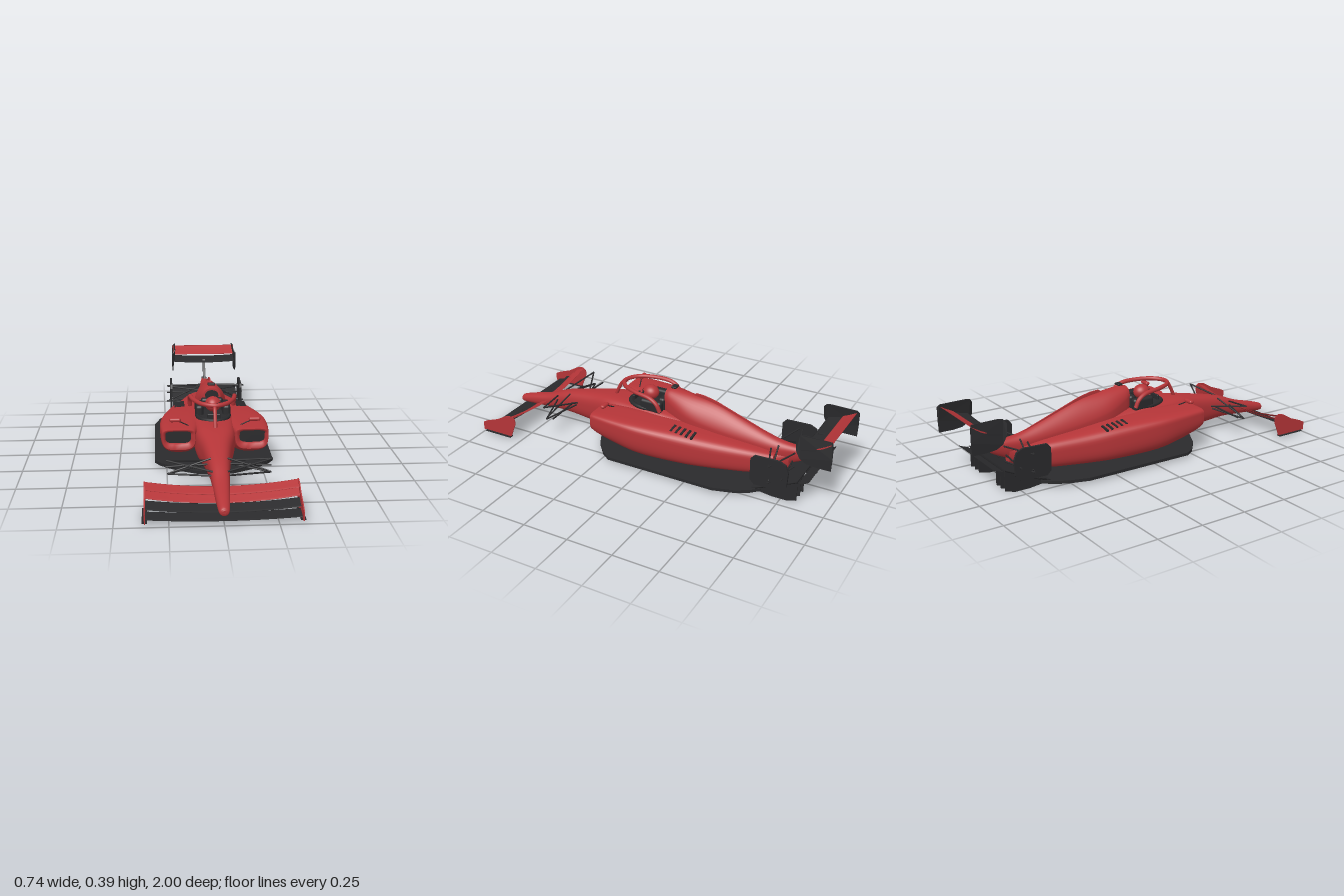
import * as THREE from 'three';
import { RoundedBoxGeometry } from 'three/addons/geometries/RoundedBoxGeometry.js';

const red = new THREE.MeshStandardMaterial({ color: 0xb53538, side: THREE.DoubleSide });
const dark = new THREE.MeshStandardMaterial({ color: 0x2a2a2c, side: THREE.DoubleSide });
const V = (x, y, z) => new THREE.Vector3(x, y, z);

// Skin over closed rings of equal length, with optional flat caps
function skin(rings, capStart = true, capEnd = true) {
  const n = rings[0].length, pos = [], idx = [];
  rings.forEach(r => r.forEach(p => pos.push(p.x, p.y, p.z)));
  for (let i = 0; i + 1 < rings.length; i++) for (let j = 0; j < n; j++) {
    const k = (j + 1) % n, a = i * n + j, b = i * n + k;
    idx.push(a, a + n, b, b, a + n, b + n);
  }
  const cap = (ring, flip) => {
    const base = pos.length / 3, c = V(0, 0, 0);
    ring.forEach(p => { pos.push(p.x, p.y, p.z); c.addScaledVector(p, 1 / n); });
    pos.push(c.x, c.y, c.z);
    for (let j = 0; j < n; j++) {
      const k = (j + 1) % n;
      idx.push(base + n, base + (flip ? k : j), base + (flip ? j : k));
    }
  };
  if (capStart) cap(rings[0], false);
  if (capEnd) cap(rings[rings.length - 1], true);
  const g = new THREE.BufferGeometry();
  g.setAttribute('position', new THREE.Float32BufferAttribute(pos, 3));
  g.setIndex(idx);
  g.computeVertexNormals();
  return g;
}

// Rounded section: [z, centre x, half width, widest y, top y, bottom y, top exponent, bottom exponent]
function section([z, cx, w, ym, yT, yB, et, eb], n = 40) {
  const pw = (v, e) => Math.sign(v) * Math.abs(v) ** e;
  return Array.from({ length: n }, (_, j) => {
    const t = (j + 0.5) / n * Math.PI * 2, c = Math.cos(t), s = Math.sin(t), e = s > 0 ? et : eb;
    return V(cx + w * pw(c, e), ym + (s > 0 ? yT - ym : ym - yB) * pw(s, e), z);
  });
}

// Smooth loft through section rows, front to back
function loft(rows, capStart = true, steps = 5) {
  const f = new THREE.CubicInterpolant(rows.map((_, i) => i), rows.flat(), 8, new Float32Array(8));
  const rings = [];
  for (let i = 0; i <= (rows.length - 1) * steps; i++) rings.push(section([...f.evaluate(i / steps)]));
  return skin(rings, capStart);
}

// Thin aerofoil across the car, curved in height and sweep towards the tips
function foil(half, zL, yL, zT, yT, thick, rise, sweep) {
  const rings = [];
  for (let i = 0; i <= 24; i++) {
    const u = i / 12 - 1, r = [];
    for (let j = 0; j < 16; j++) {
      const t = j / 16 * Math.PI * 2, c = 0.5 - 0.5 * Math.cos(t);
      r.push(V(u * half, yL + (yT - yL) * c ** 1.3 + thick * Math.sin(t) * (1 - 0.6 * c) + rise * u * u,
        zL + (zT - zL) * c + sweep * u * u));
    }
    rings.push(r);
  }
  return skin(rings);
}

// Upright plate from (z, y) points, centred on x
function plate(points, thick, x) {
  const s = new THREE.Shape(points.map(p => new THREE.Vector2(...p)));
  return new THREE.ExtrudeGeometry(s, { depth: thick, bevelEnabled: false })
    .rotateY(-Math.PI / 2).translate(x + thick / 2, 0, 0);
}

// Straight rod between two points
function rod(a, b, r) {
  const d = b.clone().sub(a);
  return new THREE.CylinderGeometry(r, r, d.length(), 8)
    .applyQuaternion(new THREE.Quaternion().setFromUnitVectors(V(0, 1, 0), d.clone().normalize()))
    .translate((a.x + b.x) / 2, (a.y + b.y) / 2, (a.z + b.z) / 2);
}

export function createModel() {
  const model = new THREE.Group();
  const add = (name, geo, mat) => {
    const m = new THREE.Mesh(geo, mat);
    m.name = name;
    model.add(m);
    return m;
  };
  // Both sides: the part is built once for each sign of x
  const both = (name, make, mat) => [1, -1].forEach(s => add((s > 0 ? 'left' : 'right') + name, make(s), mat));

  // Nose and central body
  add('noseAndBody', loft([
    [0.988, 0, 0.010, 0.06, 0.068, 0.05, 1, 1], [0.975, 0, 0.024, 0.06, 0.082, 0.038, 1, 1],
    [0.90, 0, 0.032, 0.075, 0.105, 0.042, 0.9, 0.9], [0.78, 0, 0.04, 0.1, 0.137, 0.052, 0.85, 0.8],
    [0.65, 0, 0.05, 0.13, 0.187, 0.058, 0.8, 0.8], [0.46, 0, 0.074, 0.145, 0.228, 0.045, 0.7, 0.8],
    [0.33, 0, 0.1, 0.16, 0.248, 0.035, 0.6, 0.8], [0.2, 0, 0.108, 0.17, 0.25, 0.03, 0.5, 0.7],
    [0, 0, 0.112, 0.17, 0.25, 0.03, 0.5, 0.6], [-0.3, 0, 0.1, 0.13, 0.21, 0.03, 0.7, 0.6],
    [-0.6, 0, 0.06, 0.11, 0.17, 0.04, 0.9, 0.8], [-0.72, 0, 0.03, 0.14, 0.18, 0.07, 1, 1]]), red);

  // Engine cover, air intake and spine fin
  add('engineCover', loft([
    [0.0, 0, 0.048, 0.31, 0.362, 0.2, 0.9, 0.6], [-0.04, 0, 0.064, 0.29, 0.365, 0.18, 1, 0.6],
    [-0.15, 0, 0.086, 0.25, 0.355, 0.12, 1.2, 0.7], [-0.3, 0, 0.08, 0.22, 0.33, 0.1, 1.35, 0.8],
    [-0.5, 0, 0.06, 0.19, 0.265, 0.08, 1.2, 0.9], [-0.65, 0, 0.042, 0.17, 0.22, 0.08, 1, 1],
    [-0.78, 0, 0.025, 0.185, 0.208, 0.13, 1, 1], [-0.85, 0, 0.012, 0.19, 0.203, 0.175, 1, 1]]), red);
  add('airIntake', skin([section([0.004, 0, 0.036, 0.322, 0.352, 0.3, 0.9, 0.9]),
    section([-0.01, 0, 0.036, 0.322, 0.352, 0.3, 0.9, 0.9])]), dark);
  add('spineFin', plate([[-0.13, 0.34], [-0.17, 0.367], [-0.22, 0.364], [-0.29, 0.348], [-0.63, 0.226],
    [-0.63, 0.2], [-0.3, 0.28]], 0.006, 0), red);
  add('roofCamera', new RoundedBoxGeometry(0.04, 0.012, 0.03, 3, 0.005).translate(0, 0.376, -0.04), dark);

  // Sidepods with recessed inlets and cooling slits
  const inner = [0.19, 0.066, 0.2, 0.23, 0.158, 0.4, 0.5], outer = [0.187, 0.084, 0.2, 0.238, 0.13, 0.45, 0.6];
  const side = (s, [z, cx, ...rest]) => [z, s * cx, ...rest];
  both('Sidepod', s => loft([
    [0.335, ...outer], [0.3, 0.186, 0.09, 0.2, 0.24, 0.11, 0.45, 0.65],
    [0.2, 0.18, 0.102, 0.195, 0.241, 0.075, 0.5, 0.75], [0.05, 0.165, 0.112, 0.18, 0.238, 0.045, 0.55, 0.7],
    [-0.18, 0.12, 0.112, 0.15, 0.222, 0.03, 0.6, 0.65], [-0.35, 0.09, 0.096, 0.13, 0.202, 0.03, 0.65, 0.65],
    [-0.55, 0.065, 0.061, 0.12, 0.178, 0.04, 0.7, 0.7], [-0.65, 0.05, 0.034, 0.12, 0.16, 0.06, 0.8, 0.8],
  ].map(r => side(s, r)), false), red);
  both('InletLip', s => skin([[0.3, ...inner], [0.335, ...inner], [0.335, ...outer]]
    .map(r => section(side(s, r))), false, false), red);
  both('InletCore', s => skin([[0.306, ...inner], [0.3, ...inner]].map(r => section(side(s, r)))), dark);
  for (let i = 0; i < 5; i++) {
    const z = -0.12 - i * 0.03;
    both('CoolingSlit', s => new THREE.BoxGeometry(0.056, 0.012, 0.011).rotateZ(-0.16 * s)
      .translate(s * 0.172, 0.2185 + 0.09 * (z + 0.18), z), dark);
  }

  // Cockpit, headrest and driver
  const rim = new THREE.TorusGeometry(1, 0.13, 8, 48).rotateX(Math.PI / 2).scale(0.085, 0.09, 0.115);
  add('cockpitRim', rim.translate(0, 0.248, 0.11), dark);
  add('cockpitFloor', new THREE.CylinderGeometry(1, 1, 0.01, 48).scale(0.085, 1, 0.115).translate(0, 0.248, 0.11), dark);
  both('Headrest', s => new RoundedBoxGeometry(0.042, 0.07, 0.13, 4, 0.016).translate(s * 0.072, 0.268, 0.065), dark);
  add('seatBack', new RoundedBoxGeometry(0.12, 0.09, 0.04, 3, 0.015).translate(0, 0.27, 0.015), dark);
  add('steeringWheel', new RoundedBoxGeometry(0.07, 0.03, 0.012, 2, 0.005).translate(0, 0.265, 0.2), dark);
  add('helmet', new THREE.SphereGeometry(0.042, 32, 20).scale(1, 0.95, 1.12).translate(0, 0.308, 0.11), red);
  add('visor', new THREE.SphereGeometry(0.0428, 24, 8, Math.PI / 2 - 1.1, 2.2, 1.2, 0.55)
    .scale(1, 0.95, 1.12).translate(0, 0.308, 0.11), dark);

  // Protective hoop over the cockpit
  const half = [[0.118, 0.268, -0.01], [0.121, 0.31, 0.01], [0.119, 0.335, 0.05], [0.104, 0.344, 0.15], [0.062, 0.345, 0.235]];
  const hoop = [...half.map(p => V(...p)), V(0, 0.344, 0.268), ...half.slice().reverse().map(p => V(-p[0], p[1], p[2]))];
  add('hoop', new THREE.TubeGeometry(new THREE.CatmullRomCurve3(hoop), 80, 0.0115, 10), red);
  add('hoopPillar', new THREE.TubeGeometry(new THREE.CatmullRomCurve3(
    [V(0, 0.235, 0.335), V(0, 0.29, 0.31), V(0, 0.33, 0.285), V(0, 0.344, 0.258)]), 20, 0.0095, 10), red);

  // Mirrors
  both('Mirror', s => new RoundedBoxGeometry(0.06, 0.021, 0.026, 4, 0.01).translate(s * 0.205, 0.275, 0.28), red);
  both('MirrorStalk', s => rod(V(s * 0.13, 0.235, 0.26), V(s * 0.19, 0.27, 0.28), 0.003), dark);

  // Floor and its front step
  const plan = [[0.09, 0.38], [0.2, 0.32], [0.28, 0.25], [0.312, 0.2], [0.312, -0.42], [0.28, -0.53], [0.24, -0.6], [0.2, -0.64]];
  const outline = [...plan, ...plan.slice().reverse().map(([x, z]) => [-x, z])];
  const floorShape = new THREE.Shape(outline.map(([x, z]) => new THREE.Vector2(x, -z)));
  add('floor', new THREE.ExtrudeGeometry(floorShape, { depth: 0.016, bevelEnabled: false })
    .rotateX(-Math.PI / 2).translate(0, 0.014, 0), dark);

  // Diffuser roof, strakes and rear plank
  add('diffuserRoof', skin([[-0.58, 0.22, 0.022], [-0.66, 0.2, 0.045], [-0.75, 0.2, 0.085], [-0.835, 0.2, 0.125]]
    .map(([z, w, y]) => [V(w, y - 0.004, z), V(w, y + 0.004, z), V(-w, y + 0.004, z), V(-w, y - 0.004, z)])), dark);
  for (const x of [0.1, 0.145, 0.193]) {
    both('DiffuserStrake', s => plate([[-0.6, 0.012], [-0.6, 0.03], [-0.66, 0.045], [-0.75, 0.085], [-0.835, 0.13],
      [-0.835, 0.015], [-0.78, 0], [-0.7, 0]], 0.004, s * x), dark);
  }
  add('beamWing', foil(0.2, -0.84, 0.12, -0.895, 0.142, 0.003, 0, 0), dark);

  // Front wing: two dark and two red elements, endplates and footplates
  [[0.987, 0.018, 0.915, 0.03, 0.008, -0.01, dark], [0.925, 0.032, 0.86, 0.052, 0.022, 0, dark],
    [0.868, 0.056, 0.82, 0.078, 0.033, 0.008, red], [0.83, 0.082, 0.778, 0.104, 0.035, 0.015, red]]
    .forEach(([zL, yL, zT, yT, rise, sweep, m], i) =>
      add('frontWingElement' + (i + 1), foil(0.357, zL, yL, zT, yT, 0.004, rise, sweep), m));
  both('FrontEndplate', s => plate([[1, 0.014], [1, 0.06], [0.97, 0.075], [0.9, 0.1], [0.84, 0.135], [0.8, 0.144],
    [0.778, 0.13], [0.775, 0.1], [0.79, 0.065], [0.81, 0.014]], 0.005, s * 0.359), red);
  both('Footplate', s => new THREE.BoxGeometry(0.024, 0.005, 0.17).translate(s * 0.36, 0.0135, 0.895), dark);

  // Rear wing
  add('rearWingMain', foil(0.193, -0.835, 0.3, -0.925, 0.322, 0.006, 0.008, 0), dark);
  add('rearWingFlap', foil(0.193, -0.915, 0.335, -0.99, 0.376, 0.005, 0, 0), red);
  both('RearEndplate', s => {
    const g = plate([[-0.81, 0.365], [-0.815, 0.3], [-0.835, 0.262], [-0.87, 0.242], [-0.92, 0.236], [-0.997, 0.236],
      [-1, 0.3], [-1, 0.37], [-0.99, 0.387], [-0.85, 0.389], [-0.825, 0.384]], 0.005, s * 0.195);
    const p = g.attributes.position;
    for (let i = 0; i < p.count; i++) if (p.getY(i) > 0.38) p.setX(i, p.getX(i) - s * 0.013);
    g.computeVertexNormals();
    return g;
  }, dark);
  add('rearWingPylon', plate([[-0.77, 0.19], [-0.83, 0.19], [-0.855, 0.24], [-0.895, 0.315], [-0.86, 0.315], [-0.81, 0.26]], 0.014, 0), dark);
  add('tailLight', new RoundedBoxGeometry(0.03, 0.035, 0.02, 2, 0.004).translate(0, 0.185, -0.85), dark);

  // Rear wheel fairings
  both('RearFairing', s => plate([[-0.585, 0.08], [-0.585, 0.2], [-0.605, 0.222], [-0.74, 0.226], [-0.775, 0.21],
    [-0.79, 0.17], [-0.785, 0.09], [-0.76, 0.06], [-0.61, 0.055]], 0.012, s * 0.21), dark);

  // Suspension arms as [inner, outer, radius]
  const arms = {
    FrontArm: [
      [[0.04, 0.15, 0.55], [0.255, 0.19, 0.65]], [[0.035, 0.15, 0.71], [0.255, 0.19, 0.65]],
      [[0.04, 0.14, 0.56], [0.25, 0.118, 0.64]], [[0.035, 0.13, 0.71], [0.25, 0.118, 0.64]],
      [[0.04, 0.185, 0.62], [0.235, 0.125, 0.64]], [[0.04, 0.145, 0.59], [0.258, 0.135, 0.59]]],
    RearArm: [
      [[0.03, 0.18, -0.62], [0.235, 0.19, -0.69]], [[0.03, 0.18, -0.75], [0.235, 0.19, -0.69]],
      [[0.03, 0.1, -0.62], [0.235, 0.095, -0.69]], [[0.03, 0.1, -0.75], [0.235, 0.095, -0.69]],
      [[0.03, 0.13, -0.74], [0.235, 0.13, -0.76]], [[0.03, 0.2, -0.66], [0.22, 0.1, -0.69]]],
  };
  for (const [name, list] of Object.entries(arms)) for (const [a, b] of list) {
    both(name, s => rod(V(s * a[0], a[1], a[2]), V(s * b[0], b[1], b[2]), 0.0045), dark);
  }
  return model;
}
